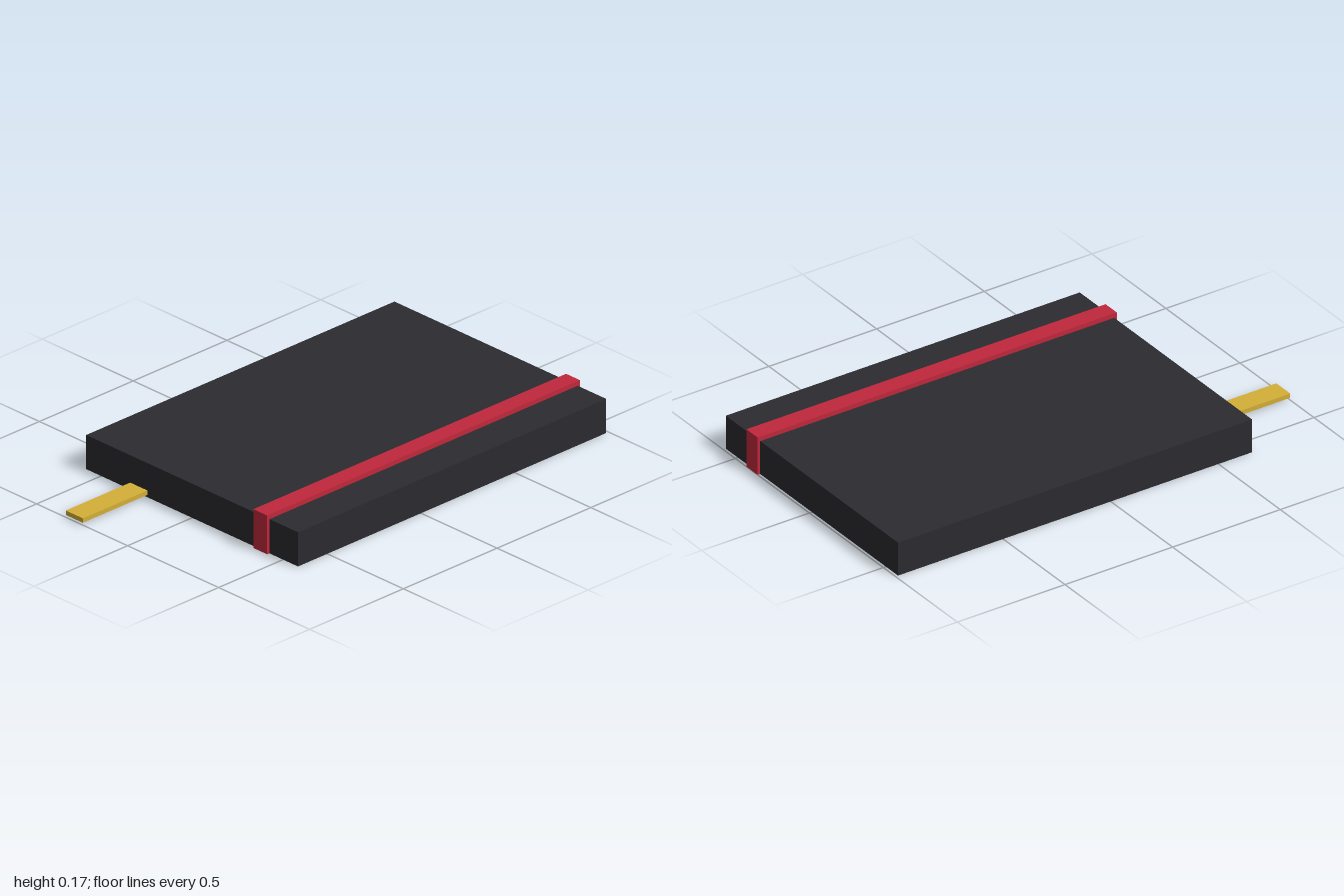
import * as THREE from 'three';

const material = (color) => new THREE.MeshStandardMaterial({ color, flatShading: true });

// Box given by its lower and upper corners
function block(name, mat, [x0, y0, z0], [x1, y1, z1]) {
  const mesh = new THREE.Mesh(new THREE.BoxGeometry(x1 - x0, y1 - y0, z1 - z0), mat);
  mesh.position.set((x0 + x1) / 2, (y0 + y1) / 2, (z0 + z1) / 2);
  mesh.name = name;
  return mesh;
}

export function createModel() {
  const model = new THREE.Group();
  model.name = 'notebook';

  // Closed book block
  model.add(block('cover', material(0x2b2b30), [-0.582, 0, -0.988], [0.582, 0.146, 0.656]));

  // Elastic strap: a bracket profile in z and y, wrapped over the top and both ends
  const profile = new THREE.Shape([
    [-1, 0], [-0.988, 0], [-0.988, 0.146], [0.656, 0.146],
    [0.656, 0], [0.668, 0], [0.668, 0.166], [-1, 0.166],
  ].map(([z, y]) => new THREE.Vector2(-z, y)));
  const strapGeometry = new THREE.ExtrudeGeometry(profile, { depth: 0.076, bevelEnabled: false });
  strapGeometry.rotateY(Math.PI / 2);
  const strap = new THREE.Mesh(strapGeometry, material(0xc0283c));
  strap.position.x = 0.349;
  strap.name = 'elasticStrap';
  model.add(strap);

  // Bookmark ribbon sticking out at the front
  model.add(block('bookmarkRibbon', material(0xd4af37), [-0.34, 0.01, 0.6], [-0.246, 0.029, 1]));

  return model;
}
